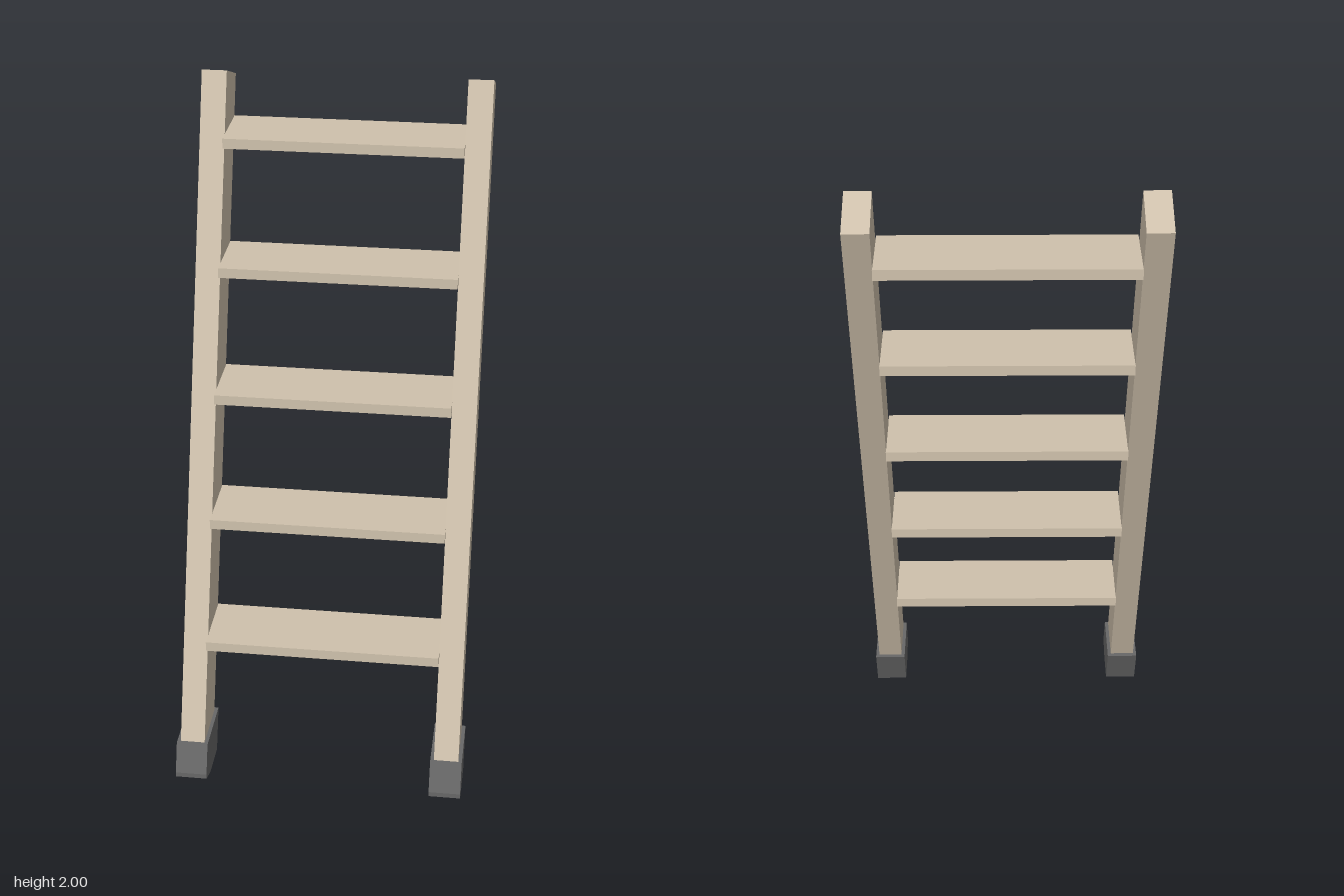
import * as THREE from 'three';

const wood = new THREE.MeshStandardMaterial({ color: 0xcfc1ac });
wood.name = 'wood';
const rubber = new THREE.MeshStandardMaterial({ color: 0x676767 });
rubber.name = 'grey rubber';

// Side profile given as [z, y] pairs, extruded along x and centred on x = 0
function sideExtrude(profile, width) {
  const shape = new THREE.Shape(profile.map(([z, y]) => new THREE.Vector2(-z, y)));
  const geometry = new THREE.ExtrudeGeometry(shape, { depth: width, bevelEnabled: false });
  geometry.rotateY(Math.PI / 2);
  geometry.translate(-width / 2, 0, 0);
  return geometry;
}

export function createModel() {
  const ladder = new THREE.Group();
  ladder.name = 'ladder';

  const add = (name, geometry, material, x, y, z) => {
    const mesh = new THREE.Mesh(geometry, material);
    mesh.name = name;
    mesh.position.set(x, y, z);
    ladder.add(mesh);
  };

  // Leaning rails, cut square at the top, and the boots on their lower ends
  const railGeometry = sideExtrude(
    [[0.408, 0.08], [-0.29, 2], [-0.436, 1.947], [0.243, 0.08]], 0.073);
  const footGeometry = sideExtrude(
    [[0.402, 0.124], [0.213, 0.124], [0.26, 0], [0.372, 0], [0.434, 0.021], [0.434, 0.036]], 0.094);
  for (const [side, s] of [['left', 1], ['right', -1]]) {
    add(side + 'Rail', railGeometry, wood, s * 0.383, 0, 0);
    add(side + 'Foot', footGeometry, rubber, s * 0.383, 0, 0);
  }

  // Five level treads following the slope
  const treadGeometry = new THREE.BoxGeometry(0.694, 0.03, 0.211);
  for (let i = 0; i < 5; i++) {
    add('tread' + (i + 1), treadGeometry, wood, 0, 0.422 + i * 0.3483, 0.211 - i * 0.1262);
  }
  return ladder;
}
